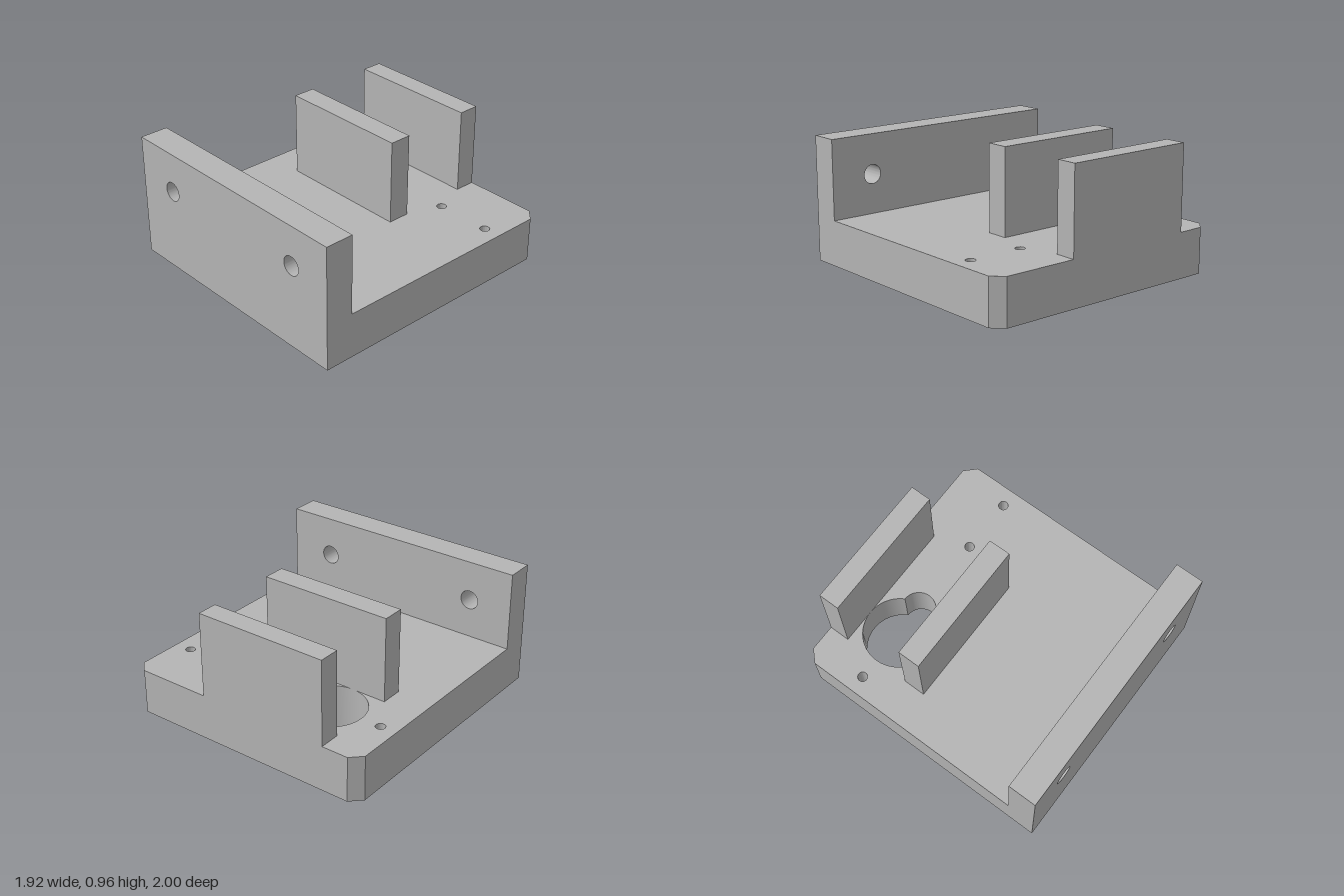
import * as THREE from 'three';
import { mergeGeometries, toCreasedNormals } from 'three/addons/utils/BufferGeometryUtils.js';

const BASE_TOP = 0.335;
const SEGMENTS = 16; // curve divisions per half of the standard holes

function circle(x, y, r) {
  const path = new THREE.Path();
  path.absarc(x, y, r, 0, Math.PI * 2, false);
  return path;
}

// Base outline in (x, z), with chamfered back corners and all through holes
function baseShape() {
  const w = 0.96, c = 0.08;
  const shape = new THREE.Shape([
    [-w, 1], [-w, -1 + c], [-w + c, -1], [w - c, -1], [w, -1 + c], [w, 1],
  ].map(([x, z]) => new THREE.Vector2(x, z)));

  // keyhole: large circle with a smaller half circle on its side
  const R = 0.26, r = 0.125, cx = -0.42, cz = -0.585;
  const a = Math.asin(r / R);
  const keyhole = new THREE.Path();
  keyhole.absarc(cx, cz, R, a, Math.PI * 2 - a, false);
  keyhole.absarc(cx + R * Math.cos(a), cz, r, -Math.PI / 2, Math.PI / 2, false);
  shape.holes.push(keyhole);

  for (const x of [-0.835, 0.415, 0.83]) shape.holes.push(circle(x, cz, 0.035));
  return shape;
}

// Removes the triangles lying on y = 0
function withoutUnderside(geometry) {
  const src = geometry.index ? geometry.toNonIndexed() : geometry;
  const p = src.attributes.position;
  const kept = [];
  for (let i = 0; i < p.count; i += 3) {
    if ([0, 1, 2].every((k) => Math.abs(p.getY(i + k)) < 1e-5)) continue;
    for (let k = 0; k < 3; k++) kept.push(p.getX(i + k), p.getY(i + k), p.getZ(i + k));
  }
  return new THREE.BufferGeometry().setAttribute('position', new THREE.Float32BufferAttribute(kept, 3));
}

function positionsOnly(geometry) {
  const g = geometry.index ? geometry.toNonIndexed() : geometry;
  g.deleteAttribute('normal');
  g.deleteAttribute('uv');
  return g;
}

// Base plate: through holes plus a cross of blind holes in the underside
function baseGeometry() {
  const r = 0.035, depth = 0.2, cz = 0.48, s = 0.355;
  const blind = [[0, cz], [s, cz], [-s, cz], [0, cz - s], [0, cz + s]];

  const plate = new THREE.ExtrudeGeometry(baseShape(), {
    depth: BASE_TOP, bevelEnabled: false, curveSegments: SEGMENTS * 2,
  });
  plate.rotateX(Math.PI / 2).translate(0, BASE_TOP, 0);

  const underShape = baseShape();
  for (const [x, z] of blind) underShape.holes.push(circle(x, z, r));
  const underside = new THREE.ShapeGeometry(underShape, SEGMENTS * 2).rotateX(Math.PI / 2);

  // inward-facing walls and ceilings of the blind holes
  const profile = [[0, depth], [r, depth], [r, 0]].map(([x, y]) => new THREE.Vector2(x, y));
  const pockets = blind.map(([x, z]) =>
    positionsOnly(new THREE.LatheGeometry(profile, SEGMENTS * 2).translate(x, 0, z)));

  const merged = mergeGeometries([withoutUnderside(plate), positionsOnly(underside), ...pockets]);
  merged.computeVertexNormals();
  return toCreasedNormals(merged, 0.5);
}

// Front wall with two mounting holes
function wallGeometry() {
  const w = 0.96, top = 0.92, back = 0.79;
  const shape = new THREE.Shape([
    [-w, BASE_TOP], [w, BASE_TOP], [w, top], [-w, top],
  ].map(([x, y]) => new THREE.Vector2(x, y)));
  for (const side of [-1, 1]) shape.holes.push(circle(side * 0.625, 0.625, 0.07));
  const g = new THREE.ExtrudeGeometry(shape, {
    depth: 1 - back, bevelEnabled: false, curveSegments: SEGMENTS * 2,
  });
  return toCreasedNormals(g.translate(0, 0, back), 0.5);
}

// Upright slab standing on the base
function slabGeometry(z0, z1) {
  const x0 = -0.68, x1 = 0.325, top = 0.96;
  return new THREE.BoxGeometry(x1 - x0, top - BASE_TOP, z1 - z0)
    .translate((x0 + x1) / 2, (top + BASE_TOP) / 2, (z0 + z1) / 2);
}

export function createModel() {
  const grey = new THREE.MeshStandardMaterial({ color: 0xb4b4b4 });
  grey.name = 'plain grey';
  const model = new THREE.Group();
  model.name = 'mountingBracket';

  const add = (name, geometry) => {
    const mesh = new THREE.Mesh(geometry, grey);
    mesh.name = name;
    model.add(mesh);
  };
  add('basePlate', baseGeometry());
  add('frontWall', wallGeometry());
  add('middleUpright', slabGeometry(-0.325, -0.16));
  add('backUpright', slabGeometry(-1, -0.845));
  return model;
}
